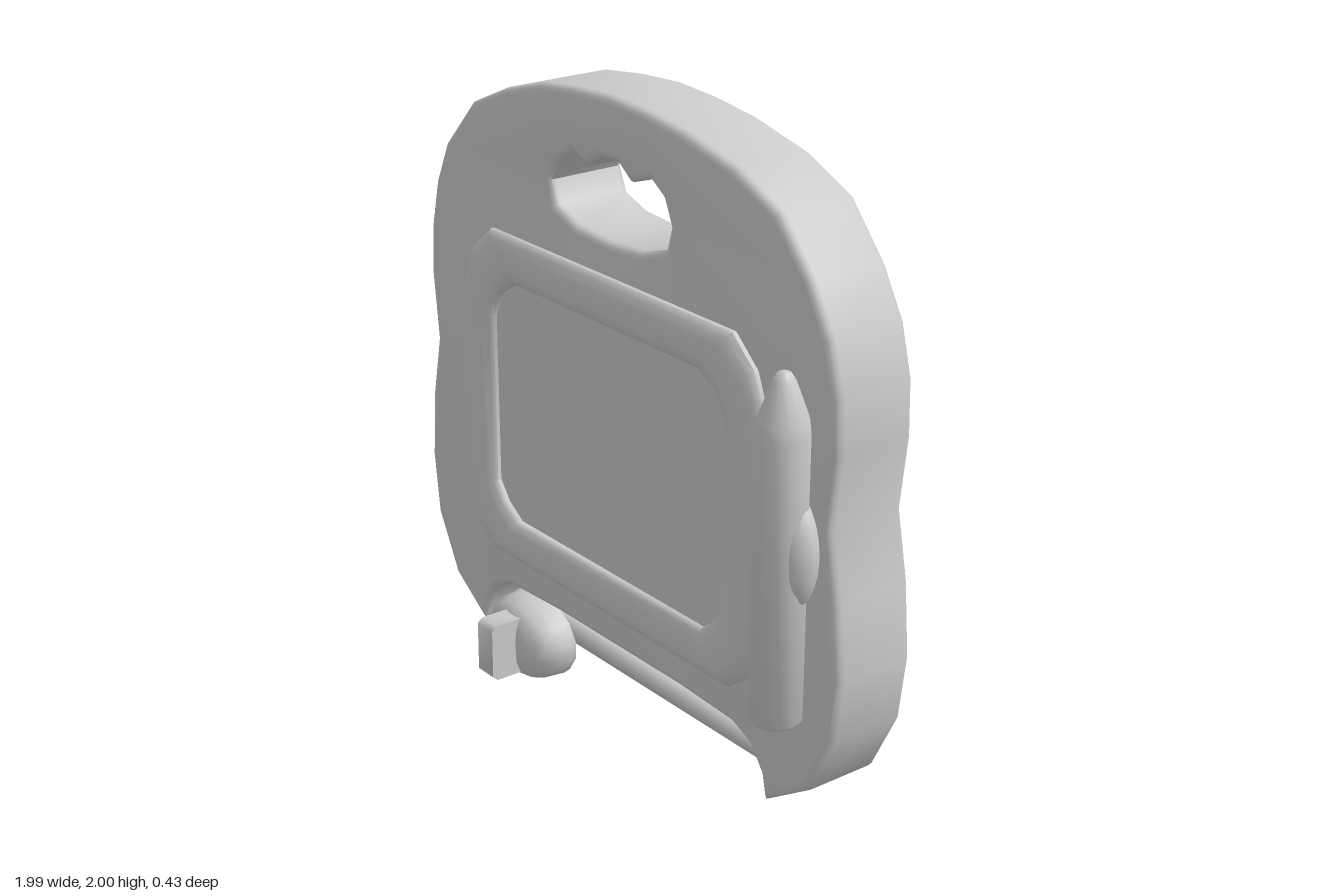
import * as THREE from 'three';
import { toCreasedNormals } from 'three/addons/utils/BufferGeometryUtils.js';

const material = new THREE.MeshStandardMaterial({ color: 0xcccccc });
const toPoints = (list) => list.map(([x, y]) => new THREE.Vector2(x, y));

function addPart(group, name, geometry, x = 0, y = 0, z = 0, crease = 0.85) {
  const mesh = new THREE.Mesh(toCreasedNormals(geometry, crease), material);
  mesh.name = name;
  mesh.position.set(x, y, z);
  group.add(mesh);
  return mesh;
}

// Skin between two matching outlines; each step is [blend from outer to inner, z]
function loftFrame(outer, inner, steps) {
  const n = outer.length;
  const positions = [];
  const index = [];
  for (const [t, z] of steps) {
    outer.forEach(([x, y], i) => positions.push(
      x + (inner[i][0] - x) * t, y + (inner[i][1] - y) * t, z));
  }
  for (let k = 0; k < steps.length - 1; k++) {
    for (let i = 0; i < n; i++) {
      const a = k * n + i, b = k * n + (i + 1) % n;
      index.push(a, a + n, b, b, a + n, b + n);
    }
  }
  const geometry = new THREE.BufferGeometry();
  geometry.setAttribute('position', new THREE.Float32BufferAttribute(positions, 3));
  geometry.setIndex(index);
  return geometry;
}

export function createModel() {
  const model = new THREE.Group();
  model.name = 'drawingBoard';

  // Body: rounded slab with a finger-grip hole and a slot below
  const body = new THREE.Shape(toPoints([
    [-0.03, 2.0], [-0.2, 1.99], [-0.36, 1.97], [-0.54, 1.915], [-0.71, 1.84], [-0.86, 1.68],
    [-0.92, 1.55], [-0.955, 1.4], [-0.965, 1.24], [-0.94, 1.02], [-0.98, 0.82], [-0.995, 0.6],
    [-0.97, 0.4], [-0.87, 0.21], [-0.705, 0.1], [-0.69, 0.17], [-0.64, 0.25], [-0.56, 0.285],
    [-0.3, 0.297], [0.3, 0.297], [0.55, 0.285], [0.63, 0.25], [0.68, 0.18], [0.7, 0.1],
    [0.87, 0.21], [0.965, 0.4], [0.99, 0.6], [0.97, 0.82], [0.93, 1.02], [0.955, 1.24],
    [0.95, 1.4], [0.91, 1.55], [0.83, 1.69], [0.7, 1.84], [0.52, 1.92], [0.3, 1.97], [0.14, 1.99],
  ]));
  body.holes.push(new THREE.Path(toPoints([
    [-0.31, 1.69], [-0.27, 1.75], [-0.2, 1.8], [-0.13, 1.77], [-0.07, 1.81], [0.01, 1.815],
    [0.07, 1.77], [0.16, 1.8], [0.22, 1.76], [0.25, 1.69], [0.23, 1.62], [0.12, 1.585],
    [-0.03, 1.575], [-0.18, 1.585], [-0.28, 1.62],
  ])));
  const bevel = 0.025;
  addPart(model, 'body', new THREE.ExtrudeGeometry(body, {
    depth: 0.27 - 2 * bevel, bevelEnabled: true, bevelThickness: bevel,
    bevelSize: bevel, bevelOffset: -bevel, bevelSegments: 3,
  }), 0, 0, -0.215 + bevel);

  // Raised frame around the drawing screen
  const outer = [
    [-0.6, 1.475], [0.545, 1.475], [0.64, 1.39], [0.695, 1.25], [0.69, 0.55], [0.63, 0.46],
    [0.55, 0.405], [-0.6, 0.405], [-0.69, 0.46], [-0.745, 0.54], [-0.755, 1.23], [-0.7, 1.39],
  ];
  const inner = [
    [-0.47, 1.33], [0.41, 1.33], [0.49, 1.28], [0.53, 1.2], [0.53, 0.65], [0.49, 0.59],
    [0.43, 0.545], [-0.47, 0.545], [-0.54, 0.59], [-0.585, 0.65], [-0.59, 1.2], [-0.55, 1.28],
  ];
  addPart(model, 'screenFrame', loftFrame(outer, inner, [
    [0, 0.04], [0.01, 0.068], [0.12, 0.084], [0.3, 0.092], [0.75, 0.09], [0.94, 0.082], [1, 0.07], [1, 0.04],
  ]));
  addPart(model, 'screen', new THREE.ShapeGeometry(new THREE.Shape(toPoints(inner))), 0, 0, 0.058);

  // Pen and the clip that holds it
  addPart(model, 'pen', new THREE.LatheGeometry(toPoints([
    [0, 0.43], [0.065, 0.43], [0.077, 0.445], [0.077, 1.28], [0.072, 1.32],
    [0.032, 1.43], [0.018, 1.452], [0, 1.458],
  ]), 12), 0.807, 0, 0.112);
  const clip = new THREE.SphereGeometry(1, 16, 12).scale(0.11, 0.18, 0.07);
  addPart(model, 'penClip', clip, 0.807, 0.94, 0.088);

  // Eraser rails across the slot
  for (const [name, y] of [['upperRail', 0.272], ['lowerRail', 0.16]]) {
    const rail = new THREE.CylinderGeometry(0.04, 0.04, 1.4, 8).rotateX(0).rotateZ(Math.PI / 2);
    addPart(model, name, rail, 0, y, -0.08);
  }

  // Sliding eraser: domed base with an upright grip
  const slider = new THREE.Group();
  slider.name = 'eraserSlider';
  slider.position.set(-0.468, 0.14, 0);
  const dome = new THREE.LatheGeometry(toPoints([
    [0, -0.015], [0.97, -0.015], [1, 0.01], [0.98, 0.045], [0.88, 0.085],
    [0.72, 0.108], [0.45, 0.122], [0, 0.126],
  ]), 14).rotateX(Math.PI / 2).scale(0.183, 0.136, 1);
  addPart(slider, 'sliderBase', dome);
  const grip = new THREE.Shape(toPoints([
    [0.08, -0.095], [0.195, -0.095], [0.212, -0.08], [0.212, 0.08], [0.195, 0.095], [0.08, 0.095],
  ]));
  const gripGeometry = new THREE.ExtrudeGeometry(grip, { depth: 0.08, bevelEnabled: false })
    .translate(0, 0, -0.04).rotateY(-Math.PI / 2);
  addPart(slider, 'sliderGrip', gripGeometry);
  model.add(slider);

  return model;
}
